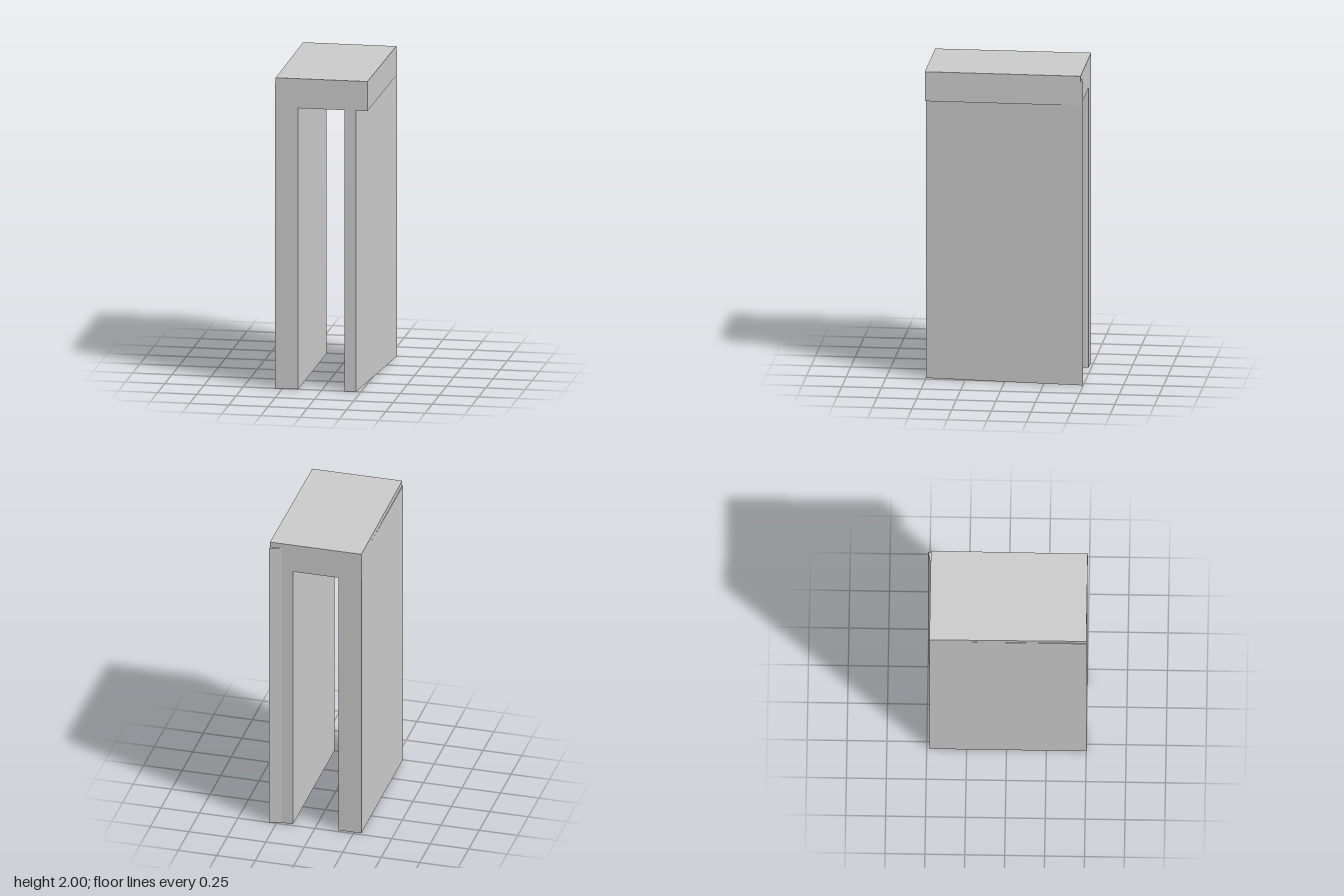
import * as THREE from 'three';

const material = new THREE.MeshStandardMaterial({ color: 0xcccccc, flatShading: true });

// Upright prism from a plan outline of [x, z] corners
function prism(name, plan, bottom, top) {
  const shape = new THREE.Shape(plan.map(([x, z]) => new THREE.Vector2(x, -z)));
  const geometry = new THREE.ExtrudeGeometry(shape, { depth: top - bottom, bevelEnabled: false });
  geometry.rotateX(-Math.PI / 2).translate(0, bottom, 0);
  const mesh = new THREE.Mesh(geometry, material);
  mesh.name = name;
  return mesh;
}

export function createModel() {
  const group = new THREE.Group();
  group.name = 'archBlock';
  const front = 0.5, back = -0.483, wallTop = 1.965;

  // Roof slab, very slightly narrower at the front
  group.add(prism('roof', [
    [-0.293, front], [0.292, front], [0.296, back], [-0.298, back],
  ], 1.81, 2));

  // Straight wall
  group.add(prism('rightWall', [
    [-0.297, front], [-0.15, front], [-0.15, back], [-0.297, back],
  ], 0, wallTop));

  // Tapered wall, set in under the roof at the front and flared at the back corner
  group.add(prism('leftWall', [
    [0.147, front], [0.22, front], [0.297, -0.5], [0.22, back], [0.147, back],
  ], 0, wallTop));

  return group;
}
